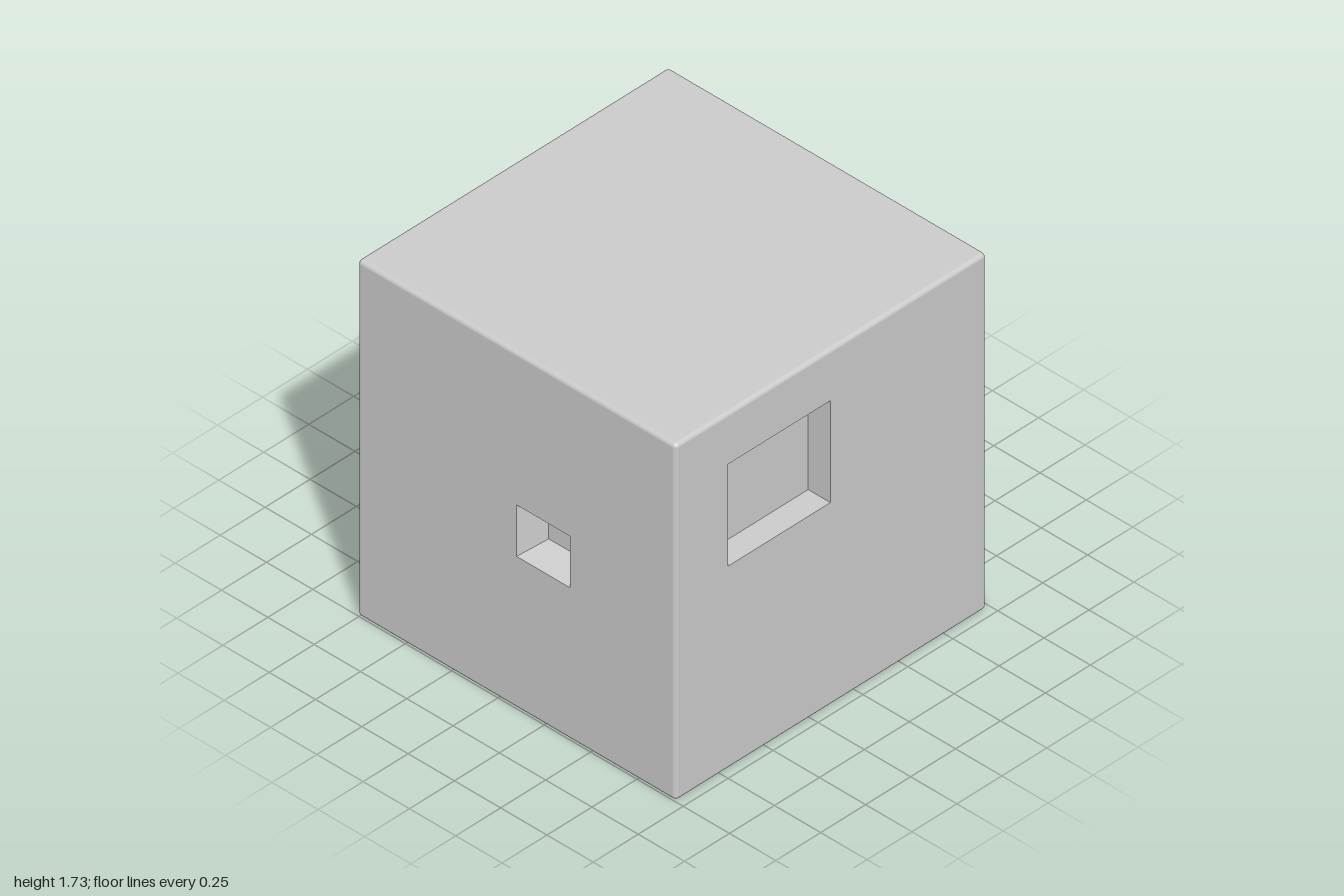
import * as THREE from 'three';
import { toCreasedNormals } from 'three/addons/utils/BufferGeometryUtils.js';
import { RoundedBoxGeometry } from 'three/addons/geometries/RoundedBoxGeometry.js';

const material = new THREE.MeshStandardMaterial({ color: 0xcccccc });
const SIZE = new THREE.Vector3(1.72, 1.73, 1.73);
const CENTRE = new THREE.Vector3(0.1, 0.865, 0.135);
const EDGE = 0.02;

function part(name, geometry, position = [0, 0, 0], turn = 0) {
  const mesh = new THREE.Mesh(geometry, material);
  mesh.name = name;
  mesh.position.set(...position);
  mesh.rotation.y = turn;
  return mesh;
}

// Corner points of a (rounded) rectangle, counter-clockwise
function rectangle(w, h, r, segs) {
  const points = [];
  [[1, 1], [-1, 1], [-1, -1], [1, -1]].forEach(([sx, sy], corner) => {
    for (let i = 0; i <= segs; i++) {
      const a = (corner + (segs ? i / segs : 0)) * Math.PI / 2;
      points.push([sx * (w / 2 - r) + r * Math.cos(a), sy * (h / 2 - r) + r * Math.sin(a)]);
    }
  });
  return points;
}

// Joins rectangles [w, h, z, r] along z and caps the last one; going down in z makes a recess
function loft(sections, segs = 0) {
  const positions = [], index = [];
  const n = 4 * (segs + 1);
  for (const [w, h, z, r = 0] of sections) {
    for (const [x, y] of rectangle(w, h, r, segs)) positions.push(x, y, z);
  }
  const last = (sections.length - 1) * n;
  for (let s = 0; s < last; s += n) {
    for (let i = 0; i < n; i++) {
      const j = (i + 1) % n;
      index.push(s + i, s + j, s + n + j, s + i, s + n + j, s + n + i);
    }
  }
  for (let i = 1; i < n - 1; i++) index.push(last, last + i, last + i + 1);
  const geometry = new THREE.BufferGeometry();
  geometry.setAttribute('position', new THREE.Float32BufferAttribute(positions, 3));
  geometry.setIndex(index);
  return toCreasedNormals(geometry, 0.55);
}

// Rounded box without its flat front and +x faces, which get panels with openings
function openBody() {
  const source = new RoundedBoxGeometry(SIZE.x, SIZE.y, SIZE.z, 3, EDGE);
  const p = source.attributes.position, nrm = source.attributes.normal;
  const positions = [], normals = [];
  const flat = (i, axis) => [0, 1, 2].every(
    (k) => Math.abs(p.getComponent(i + k, axis) - SIZE.getComponent(axis) / 2) < 1e-5);
  for (let i = 0; i < p.count; i += 3) {
    if (flat(i, 0) || flat(i, 2)) continue;
    for (let k = i; k < i + 3; k++) {
      positions.push(p.getX(k), p.getY(k), p.getZ(k));
      normals.push(nrm.getX(k), nrm.getY(k), nrm.getZ(k));
    }
  }
  const geometry = new THREE.BufferGeometry();
  geometry.setAttribute('position', new THREE.Float32BufferAttribute(positions, 3));
  geometry.setAttribute('normal', new THREE.Float32BufferAttribute(normals, 3));
  return geometry;
}

// Flat panel with one rectangular opening
function panel(w, h, [x, y], [holeW, holeH]) {
  const toVectors = (list) => list.map(([a, b]) => new THREE.Vector2(a, b));
  const shape = new THREE.Shape(toVectors(rectangle(w, h, 0, 0)));
  const hole = rectangle(holeW, holeH, 0, 0).map(([a, b]) => [a + x, b + y]);
  shape.holes.push(new THREE.Path(toVectors(hole)));
  return new THREE.ShapeGeometry(shape);
}

// Shape from a polygon with softened corners
function softPolygon(points, cut) {
  const shape = new THREE.Shape();
  const v = points.map(([x, y]) => new THREE.Vector2(x, y));
  v.forEach((p, i) => {
    const toward = (q) => q.clone().sub(p).setLength(cut).add(p);
    const a = toward(v[(i + v.length - 1) % v.length]);
    const b = toward(v[(i + 1) % v.length]);
    if (i === 0) shape.moveTo(a.x, a.y);
    else shape.lineTo(a.x, a.y);
    shape.quadraticCurveTo(p.x, p.y, b.x, b.y);
  });
  shape.closePath();
  return shape;
}

export function createModel() {
  const model = new THREE.Group();
  model.name = 'puzzleCube';
  const { x, y, z } = CENTRE;
  const front = z + SIZE.z / 2, back = z - SIZE.z / 2;
  const left = x + SIZE.x / 2, right = x - SIZE.x / 2;
  const inner = SIZE.clone().subScalar(2 * EDGE);

  model.add(part('body', openBody(), [x, y, z]));

  // Front face with a tapered recess
  model.add(part('frontPanel', panel(inner.x, inner.y, [0.145, 0], [0.29, 0.25]), [x, y, front]));
  model.add(part('taperedRecess', loft([[0.29, 0.25, 0], [0.175, 0.15, -0.12]]), [x + 0.145, y, front]));

  // Left face with a straight-walled recess
  model.add(part('leftPanel', panel(inner.z, inner.y, [-0.29, 0.37], [0.57, 0.495]), [left, y, z], Math.PI / 2));
  model.add(part('squareRecess', loft([[0.57, 0.495, 0], [0.57, 0.495, -0.12]]), [left, y + 0.37, z + 0.29], Math.PI / 2));

  // Tapered boss with a softened rim on the back
  const boss = loft([
    [0.86, 0.74, 0, 0.03], [0.57, 0.49, 0.245, 0.03], [0.55, 0.472, 0.26, 0.03],
    [0.53, 0.452, 0.268, 0.025], [0.5, 0.43, 0.27, 0.02],
  ], 4);
  model.add(part('taperedBoss', boss, [0.24, 0.87, back], Math.PI));

  // L-shaped boss on the right side
  const outline = softPolygon([
    [-0.15, 0.745], [0.135, 0.745], [0.135, 1.24], [0.42, 1.24], [0.42, 1.485], [-0.15, 1.485],
  ], 0.07);
  const angle = new THREE.ExtrudeGeometry(outline, {
    depth: 0.16, bevelThickness: 0.05, bevelSize: 0.045, bevelOffset: -0.045,
    bevelSegments: 5, curveSegments: 6,
  });
  model.add(part('angledBoss', toCreasedNormals(angle, 0.6), [right, 0, 0], -Math.PI / 2));

  return model;
}
